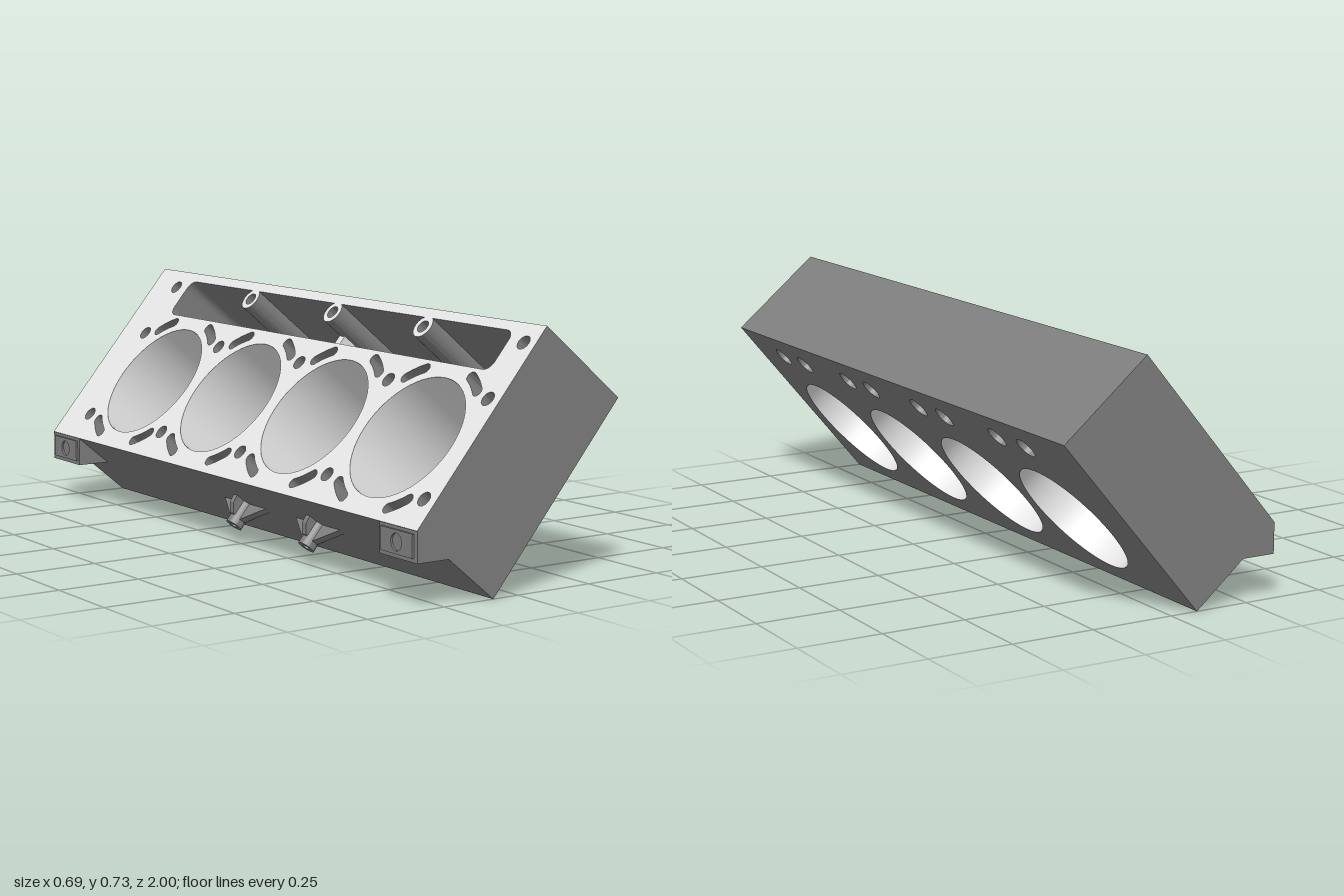
import * as THREE from 'three';
import { toCreasedNormals } from 'three/addons/utils/BufferGeometryUtils.js';

const W = 0.669, T = 0.335;                       // deck width, block thickness
const BORES = [-0.63, -0.178, 0.274, 0.727];      // bore centres along z
const BOLTS = [-0.86, -0.408, 0.045, 0.497, 0.95];
const BORE_S = 0.259, LIFT_S = 0.575, PILLAR_S = 0.607;
const FLOOR = 0.05;                               // height of the pocket floor

const circle = (s, z, r) => new THREE.Path().absarc(s, -z, r, 0, Math.PI * 2);
const polygon = pts => new THREE.Shape(pts.map(p => new THREE.Vector2(...p)));

// Long rounded opening of the lifter pocket
function pocketPath() {
  const p = new THREE.Path(), s0 = 0.505, s1 = 0.638, y0 = -0.885, y1 = 0.795, r = 0.03;
  p.absarc(s1 - r, y0 + r, r, -Math.PI / 2, 0);
  p.absarc(s1 - r, y1 - r, r, 0, Math.PI / 2);
  p.absarc(s0 + r, y1 - r, r, Math.PI / 2, Math.PI);
  p.absarc(s0 + r, y0 + r, r, Math.PI, Math.PI * 1.5);
  p.closePath();
  return p;
}

// Curved water slot following the rim of a bore
function slot(z, angle) {
  const p = new THREE.Path(), R = 0.241, w = 0.016, a = 0.15;
  const cap = (t, from, to) => p.absarc(BORE_S + R * Math.cos(t), -z + R * Math.sin(t), w, from, to);
  p.absarc(BORE_S, -z, R + w, angle - a, angle + a);
  cap(angle + a, angle + a, angle + a + Math.PI);
  p.absarc(BORE_S, -z, R - w, angle + a, angle - a, true);
  cap(angle - a, angle - a + Math.PI, angle - a + 2 * Math.PI);
  p.closePath();
  return p;
}

export function createModel() {
  const model = new THREE.Group();
  model.name = 'engineBlock';
  const iron = new THREE.MeshStandardMaterial({ color: 0x7f7f7f });
  iron.name = 'castIron';
  const machined = new THREE.MeshStandardMaterial({ color: 0xe8e8e8 });
  machined.name = 'machinedMetal';
  const machinedCaps = [machined, iron];          // light end faces, dark walls

  // Tilted frame: x runs across the deck, z is the deck normal
  const bank = new THREE.Group();
  bank.name = 'tiltedBank';
  const c = Math.cos(THREE.MathUtils.degToRad(50)), s = Math.sin(THREE.MathUtils.degToRad(50));
  bank.quaternion.setFromRotationMatrix(new THREE.Matrix4().makeBasis(
    new THREE.Vector3(c, s, 0), new THREE.Vector3(0, 0, -1), new THREE.Vector3(-s, c, 0)));
  bank.position.x = -0.085;
  model.add(bank);

  const add = (parent, name, geo, material = iron) => {
    const mesh = new THREE.Mesh(geo, material);
    mesh.name = name;
    parent.add(mesh);
    return mesh;
  };
  const extrude = (shape, depth, from) => {
    const g = new THREE.ExtrudeGeometry(shape, { depth, bevelEnabled: false, curveSegments: 28 });
    return toCreasedNormals(g.translate(0, 0, from), 0.5);
  };

  // Block in three layers, each with its own openings
  const layer = (name, from, to, holes, material) => {
    const shape = polygon([[0, -1], [W, -1], [W, 1], [0, 1]]);
    shape.holes.push(...BORES.map(z => circle(BORE_S, z, 0.2)), ...holes);
    add(bank, name, extrude(shape, to - from, from), material);
  };
  const lifters = BORES.flatMap(z => [z - 0.077, z + 0.077]);
  const boltHoles = BOLTS.flatMap((z, i) => {
    const end = i === 0 || i === BOLTS.length - 1;
    return [0.093, 0.42, ...(end ? [PILLAR_S] : [])].map(x => circle(x, z, 0.022));
  });
  const slots = BORES.flatMap(z => [0.594, Math.PI - 0.594, Math.PI + 0.594, -0.594].map(a => slot(z, a)));
  layer('lowerBlock', 0, FLOOR, lifters.map(z => circle(LIFT_S, z, 0.034)), iron);
  layer('middleBlock', FLOOR, 0.235, [pocketPath()], iron);
  layer('deck', 0.235, T, [pocketPath(), ...boltHoles, ...slots], machinedCaps);

  // Bright cylinder walls, facing inward
  for (const z of BORES) {
    const wall = new THREE.LatheGeometry([new THREE.Vector2(0.199, T), new THREE.Vector2(0.199, 0)], 56);
    add(bank, 'cylinderWall', wall.rotateX(Math.PI / 2), machined).position.set(BORE_S, -z, 0);
  }

  // Lifter bosses and bolt pillars inside the pocket
  const ring = (name, x, z, outer, inner, from, to, material) => {
    const shape = new THREE.Shape().absarc(x, -z, outer, 0, Math.PI * 2);
    shape.holes.push(circle(x, z, inner));
    add(bank, name, extrude(shape, to - from, from), material);
  };
  lifters.forEach(z => ring('lifterBoss', LIFT_S, z, 0.046, 0.034, FLOOR, 0.09, iron));
  BOLTS.slice(1, 4).forEach(z => ring('boltPillar', PILLAR_S, z, 0.036, 0.02, FLOOR, T, machinedCaps));
  add(bank, 'pocketWeb', new THREE.BoxGeometry(0.075, 0.026, 0.21), machined).position.set(0.54, -0.045, 0.155);

  // Engine mounts: a hollow stud with crossing gussets
  for (const z of [-0.015, 0.37]) {
    const mount = new THREE.Group();
    mount.name = 'engineMount';
    mount.position.set(0, -z, 0.175);
    bank.add(mount);
    const stud = new THREE.Shape().absarc(0, 0, 0.026, 0, Math.PI * 2);
    stud.holes.push(circle(0, 0, 0.012));
    add(mount, 'mountStud', extrude(stud, 0.085, -0.01).rotateY(-Math.PI / 2));
    const wing = polygon([[0.005, -0.12], [0.005, 0.12], [-0.055, 0.025], [-0.055, -0.025]]);
    add(mount, 'mountWing', extrude(wing, 0.02, -0.01));
    const rib = polygon([[0.005, -0.06], [0.005, 0.055], [-0.024, 0.051], [-0.05, 0.03], [-0.055, -0.022]]);
    add(mount, 'mountRib', extrude(rib, 0.02, -0.01).rotateX(Math.PI / 2));
  }

  // Corner feet with thin drilled pads
  for (const side of [-1, 1]) {
    const foot = polygon([[-0.34, 0.127], [-0.23, 0.127], [-0.2, 0.14], [-0.3, 0.225], [-0.34, 0.216]]);
    add(model, 'cornerFoot', extrude(foot, 0.17, side > 0 ? 0.83 : -1));
    const pad = polygon([[-0.072, -0.033], [0.072, -0.033], [0.072, 0.033], [-0.072, 0.033]]);
    pad.holes.push(circle(0, 0, 0.024));
    const mesh = add(model, 'footPad', extrude(pad, 0.006, 0).rotateY(-Math.PI / 2));
    mesh.position.set(-0.34, 0.172, side * 0.913);
  }
  return model;
}
